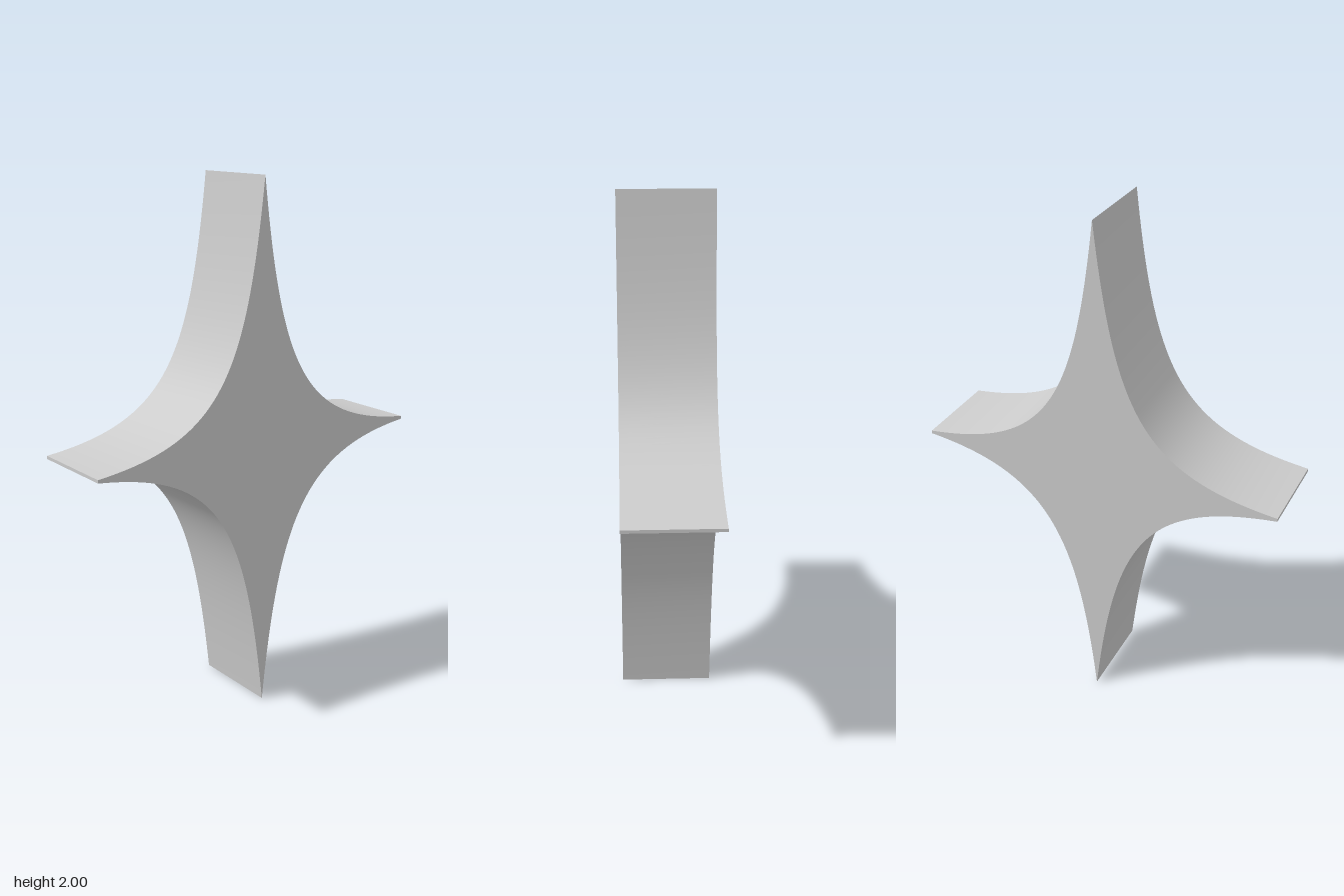
import * as THREE from 'three';
import { toCreasedNormals } from 'three/addons/utils/BufferGeometryUtils.js';

const DEPTH = 0.354;

// Four-pointed star outline: concave curves between narrow tips
function starShape() {
  const s = new THREE.Shape();
  s.moveTo(0, 0);
  s.bezierCurveTo(0.08, 0.735, 0.2, 0.965, 0.702, 1.018); // bottom to left tip
  s.lineTo(0.702, 1.03);
  s.bezierCurveTo(0.2, 1.08, 0.08, 1.3, 0, 2); // left tip to top
  s.bezierCurveTo(-0.08, 1.3, -0.2, 1.08, -0.702, 1.03); // top to right tip
  s.lineTo(-0.702, 1.018);
  s.bezierCurveTo(-0.2, 0.965, -0.08, 0.735, 0, 0); // right tip to bottom
  return s;
}

export function createModel() {
  const group = new THREE.Group();
  group.name = 'fourPointedStar';

  const geometry = new THREE.ExtrudeGeometry(starShape(), {
    depth: DEPTH,
    bevelEnabled: false,
    curveSegments: 40,
  });
  geometry.translate(0, 0, -DEPTH / 2);

  // Smooth concave sides, sharp rims and tips
  const star = new THREE.Mesh(
    toCreasedNormals(geometry, Math.PI / 6),
    new THREE.MeshStandardMaterial({ color: 0xcccccc })
  );
  star.name = 'starBody';
  group.add(star);
  return group;
}
